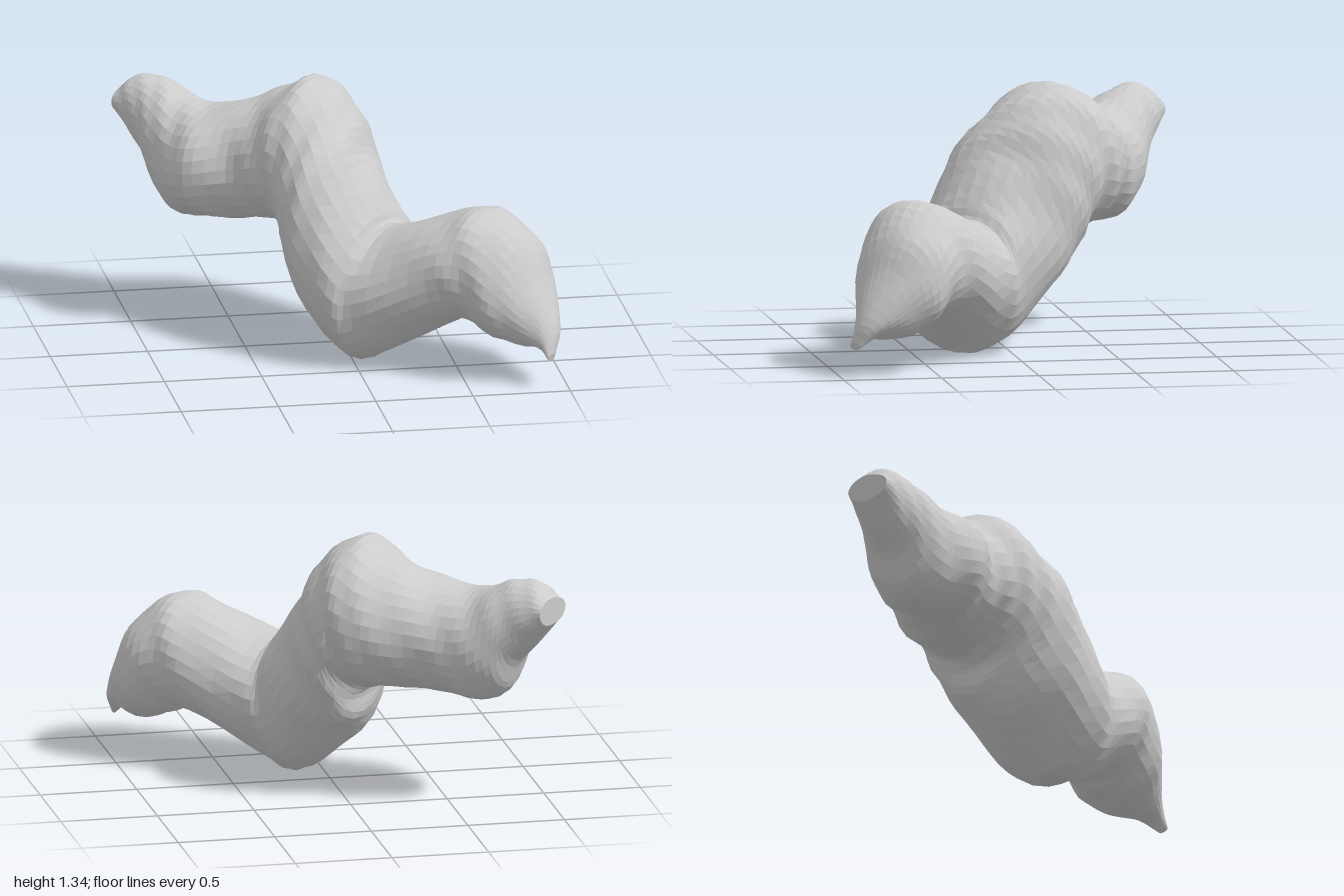
import * as THREE from 'three';

// Cross-sections from the low tip to the raised head. s runs along the diagonal, p across it:
// [upper s, upper y, upper p, lower s, lower y, lower p, half width]
const SECTIONS = [
  [1.31, 0.18, -0.01, 1.30, 0.14, -0.01, 0.03],
  [1.29, 0.30, 0.05, 1.23, 0.19, 0.02, 0.08],
  [1.18, 0.52, 0.08, 1.11, 0.18, 0.05, 0.18],
  [1.07, 0.72, 0.08, 0.99, 0.19, 0.06, 0.27],
  [0.88, 0.86, 0.04, 0.88, 0.24, 0.06, 0.29],
  [0.69, 0.81, 0.03, 0.75, 0.26, 0.02, 0.32],
  [0.35, 0.69, -0.02, 0.35, 0.04, -0.10, 0.34],
  [0.27, 0.77, -0.05, 0.19, 0.00, -0.10, 0.36],
  [0.12, 0.99, -0.05, -0.09, 0.21, -0.03, 0.39],
  [0.03, 1.14, -0.02, -0.22, 0.38, 0.04, 0.39],
  [-0.10, 1.26, 0.04, -0.24, 0.49, 0.06, 0.38],
  [-0.26, 1.34, 0.09, -0.28, 0.55, 0.06, 0.37],
  [-0.41, 1.26, 0.11, -0.38, 0.57, 0.07, 0.36],
  [-0.56, 1.19, 0.07, -0.53, 0.57, 0.01, 0.32],
  [-0.75, 1.13, -0.04, -0.72, 0.56, -0.08, 0.31],
  [-0.90, 1.13, -0.05, -0.90, 0.54, -0.06, 0.26],
  [-1.03, 1.19, -0.05, -1.04, 0.62, -0.05, 0.21],
  [-1.14, 1.21, -0.05, -1.10, 0.76, -0.05, 0.17],
  [-1.24, 1.20, -0.05, -1.20, 0.87, -0.05, 0.14],
  [-1.31, 1.14, -0.05, -1.31, 1.00, -0.05, 0.12],
];
const RINGS = 72, SIDES = 28;

// Body: elliptical sections hung between an upper and a lower profile curve
function sweptBody() {
  const curve = pick => new THREE.CatmullRomCurve3(SECTIONS.map(pick), false, 'catmullrom', 0.5);
  const upper = curve(q => new THREE.Vector3(q[0], q[1], q[2]));
  const lower = curve(q => new THREE.Vector3(q[3], q[4], q[5]));
  const width = curve(q => new THREE.Vector3(q[6], 0, 0));
  const positions = [], index = [];
  const push = v => positions.push((v.x + v.z) * Math.SQRT1_2, Math.max(0, v.y), (v.x - v.z) * Math.SQRT1_2);
  const middle = t => upper.getPoint(t).add(lower.getPoint(t)).multiplyScalar(0.5);

  for (let i = 0; i <= RINGS; i++) {
    const t = i / RINGS;
    const center = middle(t), half = upper.getPoint(t).sub(center), b = width.getPoint(t).x;
    for (let j = 0; j < SIDES; j++) {
      const a = j / SIDES * Math.PI * 2;
      // Gentle uneven surface
      const bump = 1 + 0.015 * Math.sin(a * 3 + i * 0.7) + 0.015 * Math.sin(a * 5 - i * 1.3);
      const v = center.clone().addScaledVector(half, Math.cos(a) * bump);
      v.z += Math.sin(a) * b * bump;
      push(v);
    }
  }
  const at = (i, j) => i * SIDES + j % SIDES;
  for (let i = 0; i < RINGS; i++) {
    for (let j = 0; j < SIDES; j++) {
      index.push(at(i, j), at(i, j + 1), at(i + 1, j), at(i, j + 1), at(i + 1, j + 1), at(i + 1, j));
    }
  }
  // End caps
  const tip = positions.length / 3;
  push(middle(0));
  push(middle(1));
  for (let j = 0; j < SIDES; j++) {
    index.push(tip, at(0, j + 1), at(0, j));
    index.push(tip + 1, at(RINGS, j), at(RINGS, j + 1));
  }
  const g = new THREE.BufferGeometry();
  g.setAttribute('position', new THREE.Float32BufferAttribute(positions, 3));
  g.setIndex(index);
  g.computeVertexNormals();
  return g;
}

export function createModel() {
  const group = new THREE.Group();
  group.name = 'wavyBody';
  const body = new THREE.Mesh(sweptBody(), new THREE.MeshStandardMaterial({ color: 0xcccccc, flatShading: true }));
  body.name = 'body';
  group.add(body);
  return group;
}
